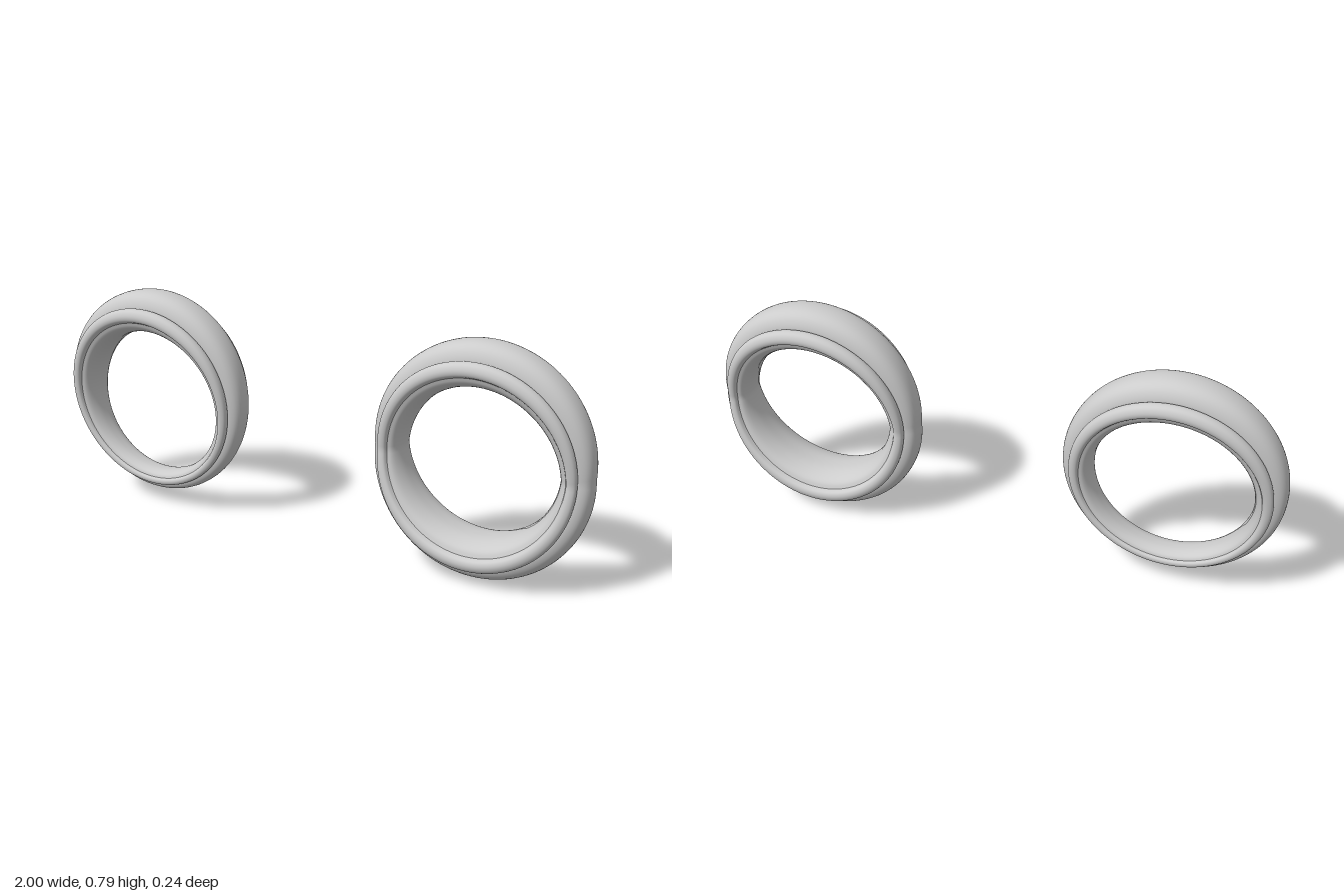
import * as THREE from 'three';

const STEPS = 160;
const material = new THREE.MeshStandardMaterial({ color: 0xcccccc, side: THREE.DoubleSide });

// Section pieces as [z, r]: z is the offset across the band, r the radius at the widest point.
const R_IN = 0.25, R_OUT = 0.395;
const bandHalf = [[0.071, 0.318], [0.0735, 0.335], [0.069, 0.356], [0.057, 0.376], [0.035, 0.39]];
const mirrorZ = (pts) => pts.map(([z, r]) => [-z, r]).reverse();
const backRail = [[-0.071, 0.325], [-0.08, 0.341], [-0.095, 0.345], [-0.112, 0.338],
  [-0.12, 0.32], [-0.116, 0.304], [-0.1, 0.295]];
const innerHalf = [[-0.1, 0.295], [-0.092, 0.278], [-0.075, 0.265], [-0.04, 0.253]];
const pieces = {
  centreBand: [...bandHalf, [0, 0.395], ...mirrorZ(bandHalf)],
  backRail,
  innerSurface: [...innerHalf, [0, 0.25], ...mirrorZ(innerHalf)],
  frontRail: mirrorZ(backRail),
};

// Sweeps one section piece round the ring; taper(sin) gives inner radius, outer radius and width scale.
function sweep(points, taper) {
  const curve = new THREE.CatmullRomCurve3(points.map(([z, r]) => new THREE.Vector3(z, r, 0)), false, 'centripetal');
  const section = curve.getPoints(28);
  const n = section.length;
  const pos = [], index = [];
  for (let i = 0; i < STEPS; i++) {
    const a = (i / STEPS) * Math.PI * 2;
    const { inner, outer, width } = taper(Math.sin(a));
    for (const p of section) {
      const r = inner + ((p.y - R_IN) / (R_OUT - R_IN)) * (outer - inner);
      pos.push(r * Math.cos(a), r * Math.sin(a), p.x * width);
    }
    const next = (i + 1) % STEPS;
    for (let j = 0; j < n - 1; j++) {
      const p = i * n + j, q = next * n + j;
      index.push(p, p + 1, q, p + 1, q + 1, q);
    }
  }
  const geometry = new THREE.BufferGeometry();
  geometry.setAttribute('position', new THREE.Float32BufferAttribute(pos, 3));
  geometry.setIndex(index);
  geometry.computeVertexNormals();
  return geometry;
}

function makeRing(name, x, taper) {
  const ring = new THREE.Group();
  ring.name = name;
  for (const [part, points] of Object.entries(pieces)) {
    const mesh = new THREE.Mesh(sweep(points, taper), material);
    mesh.name = part;
    ring.add(mesh);
  }
  ring.position.set(x, R_OUT, 0);
  return ring;
}

export function createModel() {
  const model = new THREE.Group();
  model.name = 'ringPair';
  // Left ring: thick at top and bottom, thin at both sides
  model.add(makeRing('leftRing', 0.63, (s) => {
    const k = Math.abs(s);
    return { inner: 0.27 - 0.022 * k, outer: 0.37 + 0.025 * k, width: 0.68 + 0.32 * k };
  }));
  // Right ring: thick at the top, thinning steadily to the bottom
  model.add(makeRing('rightRing', -0.63, (s) => ({
    inner: 0.27 - 0.011 * s - 0.01 * s * s,
    outer: 0.37 + 0.025 * s,
    width: 0.68 + 0.26 * s + 0.06 * s * s,
  })));
  return model;
}
